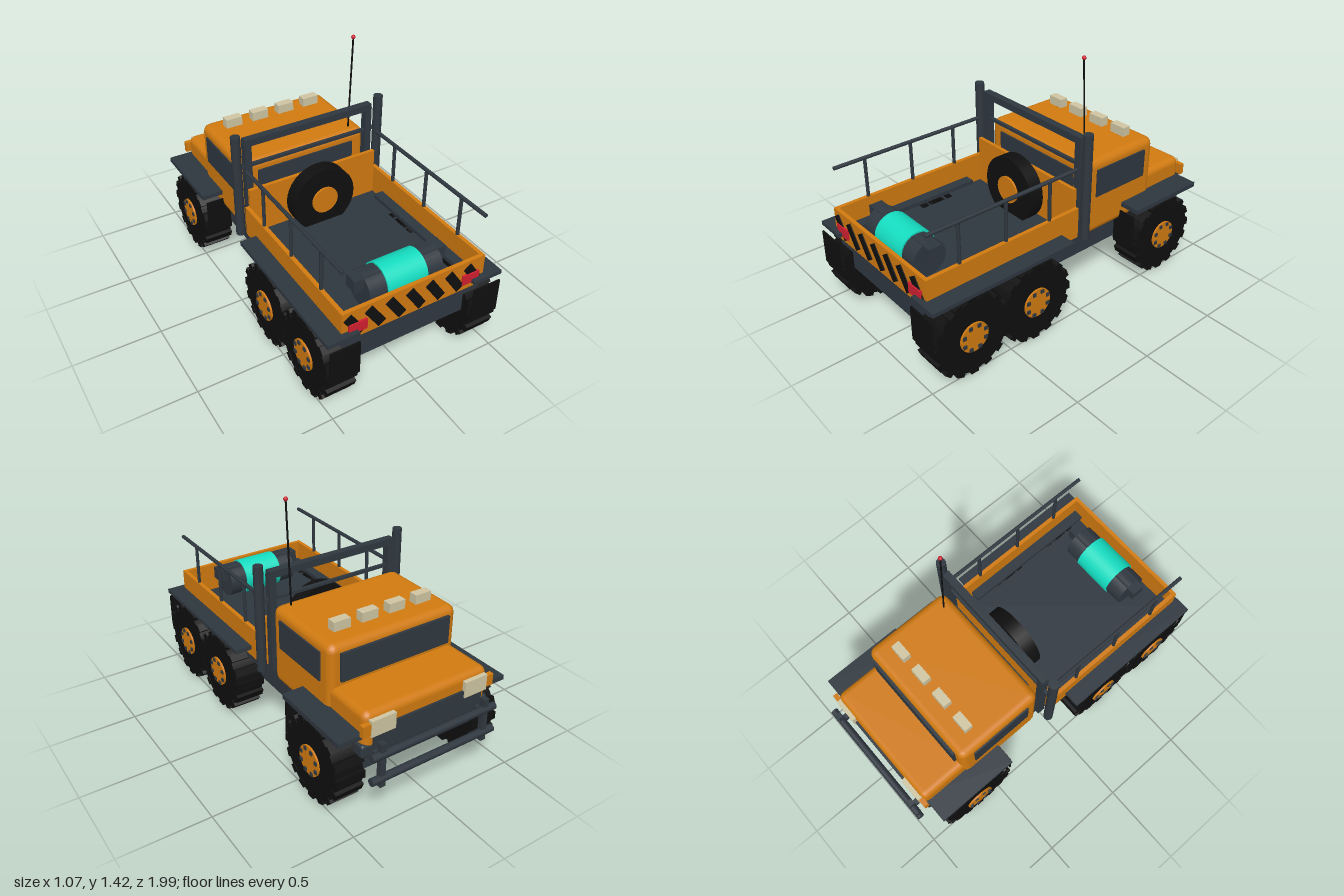
import * as THREE from 'three';
import { RoundedBoxGeometry } from 'three/addons/geometries/RoundedBoxGeometry.js';

const mat = (name, color) => {
  const m = new THREE.MeshStandardMaterial({ color });
  m.name = name;
  return m;
};

export function createModel() {
  const orange = mat('orange paint', 0xd07a10), dark = mat('dark slate', 0x2f373f);
  const black = mat('black rubber', 0x0f0f0f), beige = mat('lamp beige', 0xcfc5a2);
  const teal = mat('teal', 0x14dcc0), red = mat('red', 0xd01f30);
  const truck = new THREE.Group();
  truck.name = 'truck';

  const add = (name, geo, m, x = 0, y = 0, z = 0, parent = truck) => {
    const mesh = new THREE.Mesh(geo, m);
    mesh.name = name;
    mesh.position.set(x, y, z);
    parent.add(mesh);
    return mesh;
  };
  // box given by its min and max on each axis
  const box = (name, m, x0, x1, y0, y1, z0, z1, radius = 0) => {
    const s = [x1 - x0, y1 - y0, z1 - z0];
    const geo = radius ? new RoundedBoxGeometry(...s, 2, radius) : new THREE.BoxGeometry(...s);
    return add(name, geo, m, (x0 + x1) / 2, (y0 + y1) / 2, (z0 + z1) / 2);
  };
  // same box on both sides of the truck
  const pair = (name, m, x0, x1, ...rest) => {
    box(name + 'Left', m, x0, x1, ...rest);
    box(name + 'Right', m, -x1, -x0, ...rest);
  };
  // round bar between two points
  const bar = (name, m, a, b, r, sides = 10) => {
    const p = new THREE.Vector3(...a), q = new THREE.Vector3(...b);
    const d = q.clone().sub(p);
    const mesh = add(name, new THREE.CylinderGeometry(r, r, d.length(), sides), m);
    mesh.position.copy(p).add(q).multiplyScalar(0.5);
    mesh.quaternion.setFromUnitVectors(new THREE.Vector3(0, 1, 0), d.normalize());
    return mesh;
  };

  // chassis and bed
  box('chassis', dark, -0.35, 0.35, 0.255, 0.39, -0.86, 0.91);
  box('bedFloor', dark, -0.415, 0.415, 0.395, 0.45, -0.035, 0.935);
  pair('bedWall', orange, 0.405, 0.428, 0.44, 0.622, -0.035, 0.93);
  box('tailgate', orange, -0.428, 0.428, 0.445, 0.622, 0.928, 0.95);
  box('headboard', orange, -0.405, 0.405, 0.44, 0.732, -0.037, -0.015);

  // hazard stripes and tail lights
  for (let i = 0; i < 7; i++) {
    const s = add('hazardStripe', new THREE.BoxGeometry(0.052, 0.145, 0.006), black, -0.357 + i * 0.119, 0.53, 0.952);
    s.rotation.z = 0.6;
  }
  pair('tailLight', red, 0.288, 0.392, 0.485, 0.545, 0.948, 0.962);

  // cab, hood and glass
  box('cab', orange, -0.4, 0.4, 0.385, 0.842, -0.645, -0.11, 0.045);
  box('hood', orange, -0.387, 0.387, 0.4, 0.615, -0.915, -0.58, 0.04);
  pair('sideWindow', dark, 0.4, 0.409, 0.622, 0.787, -0.565, -0.19);
  box('windshield', dark, -0.34, 0.34, 0.64, 0.8, -0.66, -0.644);
  box('rearWindow', dark, -0.305, 0.305, 0.64, 0.782, -0.112, -0.1);

  // nose
  box('grille', dark, -0.34, 0.34, 0.43, 0.53, -0.928, -0.91);
  box('bumper', dark, -0.4, 0.4, 0.365, 0.44, -0.915, -0.83, 0.015);
  pair('headlight', beige, 0.218, 0.362, 0.495, 0.585, -0.937, -0.905);
  pair('indicator', orange, 0.35, 0.41, 0.505, 0.57, -0.932, -0.905);

  // bull bar
  for (const y of [0.27, 0.41])
    bar('bullBarTube', dark, [-0.39, y, -0.977], [0.39, y, -0.977], 0.021);
  pair('bullBarPost', dark, 0.309, 0.341, 0.222, 0.475, -0.987, -0.957);
  pair('bullBarMount', dark, 0.309, 0.341, 0.37, 0.4, -0.96, -0.85);

  // roof lamps and antenna
  for (let i = 0; i < 4; i++) {
    const x = -0.255 + i * 0.17;
    box('roofLamp', beige, x - 0.05, x + 0.05, 0.852, 0.905, -0.54, -0.49);
    box('roofLampFoot', dark, x - 0.015, x + 0.015, 0.835, 0.855, -0.525, -0.505);
  }
  bar('antenna', black, [0.32, 0.83, -0.172], [0.32, 1.415, -0.14], 0.005, 6);
  add('antennaTip', new THREE.SphereGeometry(0.012, 10, 8), red, 0.32, 1.415, -0.14);

  // fenders and mud flaps
  pair('rearFender', dark, 0.345, 0.525, 0.482, 0.505, 0.085, 0.985);
  pair('frontFender', dark, 0.345, 0.525, 0.475, 0.502, -0.9, -0.405);
  pair('rearMudFlap', black, 0.345, 0.515, 0.25, 0.45, 0.985, 0.995);
  pair('frontMudFlap', black, 0.36, 0.505, 0.25, 0.45, -0.405, -0.395);

  // roll frame, exhaust stacks and bed rails
  box('rollFrameTop', dark, -0.4, 0.4, 0.982, 1.022, -0.098, -0.055);
  pair('rollFrameLeg', dark, 0.362, 0.402, 0.43, 1.0, -0.098, -0.055);
  box('rollFrameCrossbar', dark, -0.43, 0.43, 0.848, 0.865, -0.085, -0.065);
  for (const s of [-1, 1]) {
    bar('exhaustStack', dark, [s * 0.449, 0.435, -0.065], [s * 0.449, 1.06, -0.065], 0.027, 12);
    bar('bedRail', dark, [s * 0.415, 0.857, -0.02], [s * 0.415, 0.857, 0.93], 0.011, 8);
    for (const z of [0.165, 0.455, 0.745])
      bar('bedRailPost', dark, [s * 0.415, 0.61, z], [s * 0.415, 0.857, z], 0.01, 8);
  }

  // drum lying in the bed
  bar('drumBand', teal, [-0.12, 0.565, 0.785], [0.12, 0.565, 0.785], 0.106, 28);
  bar('drumBody', dark, [-0.222, 0.565, 0.785], [0.222, 0.565, 0.785], 0.097, 28);
  box('drumAxle', dark, -0.275, 0.275, 0.585, 0.658, 0.745, 0.822);

  // spare wheel
  bar('spareTyre', black, [0, 0.6, 0.01], [0, 0.6, 0.095], 0.193, 32);
  bar('spareHub', orange, [0, 0.6, 0.02], [0, 0.6, 0.108], 0.08, 20);

  // road wheels with tread lugs and bolts
  const makeWheel = (s, z) => {
    const wheel = new THREE.Group();
    wheel.name = 'wheel';
    wheel.position.set(s * 0.433, 0.24, z);
    truck.add(wheel);
    const disc = (name, m, r, w, x) => {
      add(name, new THREE.CylinderGeometry(r, r, w, 32), m, x, 0, 0, wheel).rotation.z = Math.PI / 2;
    };
    disc('tyre', black, 0.216, 0.165, 0);
    disc('hub', orange, 0.085, 0.03, s * 0.078);
    for (let i = 0; i < 16; i++) {
      const a = (i / 16) * Math.PI * 2;
      const lug = add('treadLug', new THREE.BoxGeometry(0.168, 0.04, 0.045), black, 0, Math.cos(a) * 0.214, Math.sin(a) * 0.214, wheel);
      lug.rotation.x = a;
    }
    for (let i = 0; i < 8; i++) {
      const a = ((i + 0.5) / 8) * Math.PI * 2;
      add('wheelBolt', new THREE.BoxGeometry(0.012, 0.02, 0.02), dark, s * 0.094, Math.cos(a) * 0.07, Math.sin(a) * 0.07, wheel);
    }
  };
  for (const z of [-0.647, 0.337, 0.749]) {
    for (const s of [-1, 1]) makeWheel(s, z);
    bar('axle', dark, [-0.4, 0.24, z], [0.4, 0.24, z], 0.02);
  }
  return truck;
}
